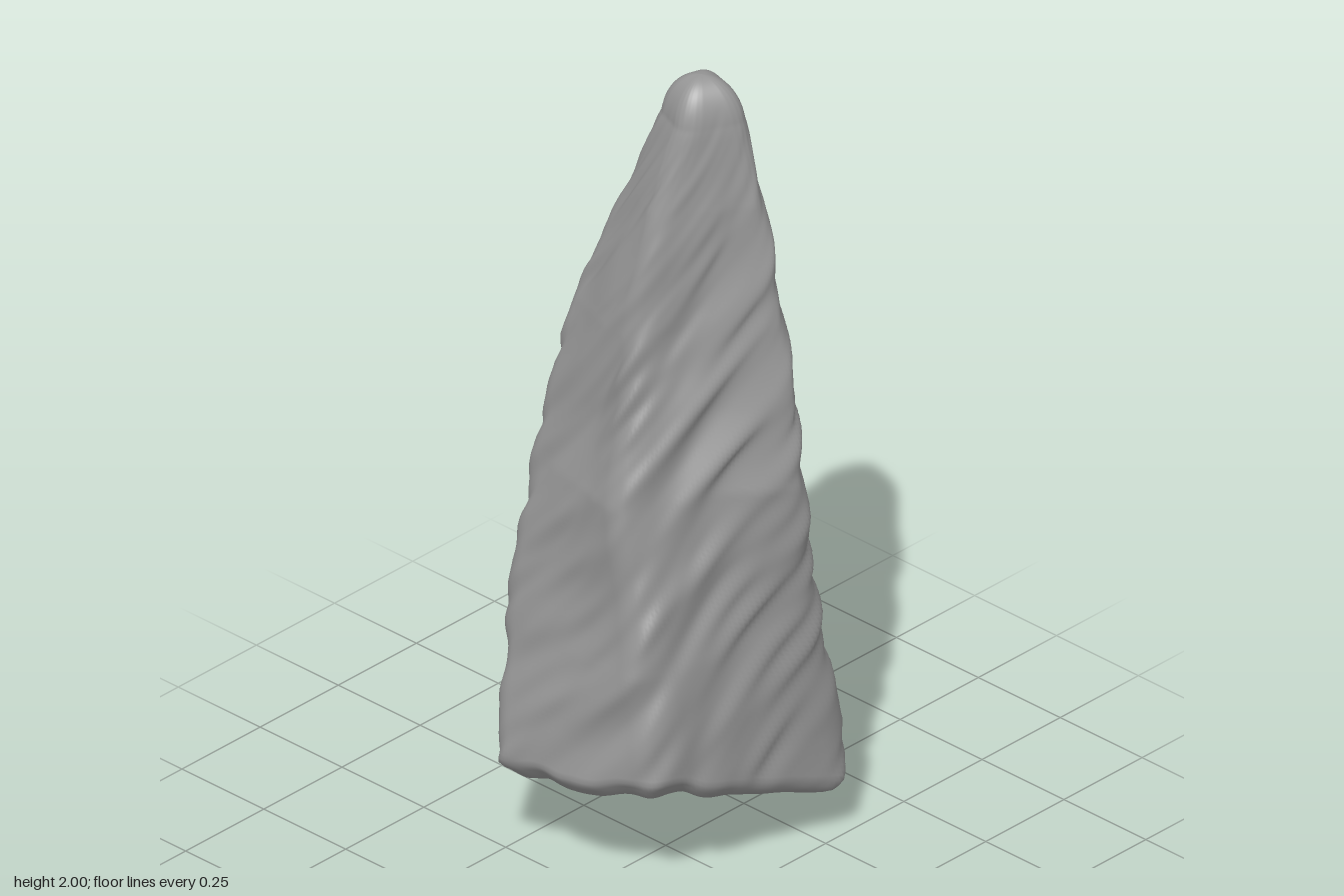
import * as THREE from 'three';

// Heights of the key sections and the four ridge positions [x, z] at each
const HEIGHTS = [0.05, 0.3, 0.6, 1.0, 1.4, 1.7, 1.9];
const RIDGES = [
  [[0.33, 0.275], [0.305, 0.275], [0.215, 0.29], [0.12, 0.325], [0.105, 0.285], [0.09, 0.235], [0.085, 0.19]],
  [[0.255, -0.325], [0.295, -0.3], [0.305, -0.21], [0.29, -0.09], [0.23, -0.015], [0.17, 0.01], [0.13, 0.025]],
  [[-0.33, -0.215], [-0.33, -0.225], [-0.265, -0.27], [-0.195, -0.255], [-0.115, -0.19], [-0.05, -0.085], [-0.015, -0.02]],
  [[-0.22, 0.245], [-0.24, 0.235], [-0.265, 0.195], [-0.255, 0.105], [-0.185, 0.07], [-0.12, 0.08], [-0.065, 0.11]],
];
const BASE = [0.11, -0.03, 0.24, 0.32]; // height of the slanted foot at each ridge
const BULGE_LOW = [0.02, 0, 0.035, -0.01]; // swelling of each face near the foot
const BULGE_HIGH = [0, -0.005, 0, -0.02]; // and further up
const TIP_START = 1.86;

const { lerp, smoothstep, clamp } = THREE.MathUtils;
const mod = (a, n) => ((a % n) + n) % n;

// Smooth noise that repeats every n by m cells
const hash = (i, j) => mod(Math.sin(i * 127.1 + j * 311.7) * 43758.5453, 1);
function noise(x, y, n, m) {
  const i = Math.floor(x), j = Math.floor(y);
  const fx = smoothstep(x - i, 0, 1), fy = smoothstep(y - j, 0, 1);
  const h = (a, b) => hash(mod(a, n), mod(b, m));
  return lerp(lerp(h(i, j), h(i + 1, j), fx), lerp(h(i, j + 1), h(i + 1, j + 1), fx), fy) - 0.5;
}

// Position of one ridge at height y
function ridgeAt(k, y) {
  let i = 0;
  while (i < HEIGHTS.length - 2 && y > HEIGHTS[i + 1]) i++;
  const t = clamp((y - HEIGHTS[i]) / (HEIGHTS[i + 1] - HEIGHTS[i]), 0, 1);
  const a = RIDGES[k][i], b = RIDGES[k][i + 1];
  return [lerp(a[0], b[0], t), lerp(a[1], b[1], t)];
}

// Four-sided loop with corners softened by averaging neighbouring samples
function loopValue(corners, u, soft) {
  let sum = 0;
  for (const d of [-1, -0.6, -0.2, 0.2, 0.6, 1]) {
    const s = mod(u + d * soft, 1) * 4, k = Math.floor(s) % 4;
    sum += lerp(corners[k], corners[(k + 1) % 4], s - Math.floor(s));
  }
  return sum / 6;
}

// Surface point: u runs round the spike, v from foot to tip, inset shrinks the ring
function surfacePoint(u, v, inset) {
  const foot = loopValue(BASE, u, 0.035) + 0.024 * noise(u * 26, 0.5, 26, 4);
  const y = lerp(foot, 2, v);
  const soft = lerp(0.033, 0.075, smoothstep(y, 1.6, 2));
  const corners = [0, 1, 2, 3].map((k) => ridgeAt(k, y));
  const xs = corners.map((c) => c[0]), zs = corners.map((c) => c[1]);
  const cx = (xs[0] + xs[1] + xs[2] + xs[3]) / 4, cz = (zs[0] + zs[1] + zs[2] + zs[3]) / 4;
  const dx = loopValue(xs, u, soft) - cx, dz = loopValue(zs, u, soft) - cz;
  const r = Math.hypot(dx, dz);

  // slanting grooves climbing to the right, coarse and fine
  const coarse = noise(y * 10 - u * 18, u * 5 + y * 1.5, 18, 5);
  const fine = noise(y * 21 - u * 38, u * 8 + y * 2.5, 38, 8);
  const groove = (0.024 * coarse + 0.019 * fine) * clamp((1.95 - y) * 2, 0, 1);
  // faces swell or hollow between their ridges
  const face = Math.floor(u * 4);
  const bulge = Math.sin(Math.PI * (u * 4 - face)) *
    lerp(BULGE_LOW[face], BULGE_HIGH[face], smoothstep(y, 0.3, 0.8)) * clamp((1.7 - y) * 2, 0, 1);

  const t = Math.max(0, (y - TIP_START) / (2 - TIP_START));
  const dome = Math.sqrt(Math.max(0, 1 - t ** 2.6));
  const scale = dome * inset * (1 + (groove + bulge) / r);
  const middle = (BASE[0] + BASE[1] + BASE[2] + BASE[3]) / 4;
  const py = v === 0 ? lerp(middle, y, inset) : y;
  return [cx + dx * scale, py, cz + dz * scale];
}

function spikeGeometry() {
  const cols = 168, rows = 190;
  // rings: underside, rounded foot edge, then the sides up to the tip
  const rings = [[0, 0], [0, 0.3], [0, 0.6], [0, 0.8], [0, 0.9], [0.004, 0.945], [0.01, 0.975]];
  for (let i = 0; i <= rows; i++) {
    rings.push([lerp(0.018, 1, 1 - (1 - i / rows) ** 1.4), 1]);
  }
  const positions = [], index = [];
  rings.forEach(([v, inset], r) => {
    for (let c = 0; c < cols; c++) {
      positions.push(...surfacePoint(c / cols, v, inset));
      if (r === rings.length - 1) continue;
      const a = r * cols + c, b = r * cols + (c + 1) % cols;
      index.push(a, b, a + cols, b, b + cols, a + cols);
    }
  });
  const geometry = new THREE.BufferGeometry();
  geometry.setAttribute('position', new THREE.Float32BufferAttribute(positions, 3));
  geometry.setIndex(index);
  geometry.computeVertexNormals();
  return geometry;
}

export function createModel() {
  const group = new THREE.Group();
  group.name = 'rockSpire';
  const spike = new THREE.Mesh(spikeGeometry(), new THREE.MeshStandardMaterial({ color: 0x969696 }));
  spike.name = 'rockSpike';
  group.add(spike);
  return group;
}
